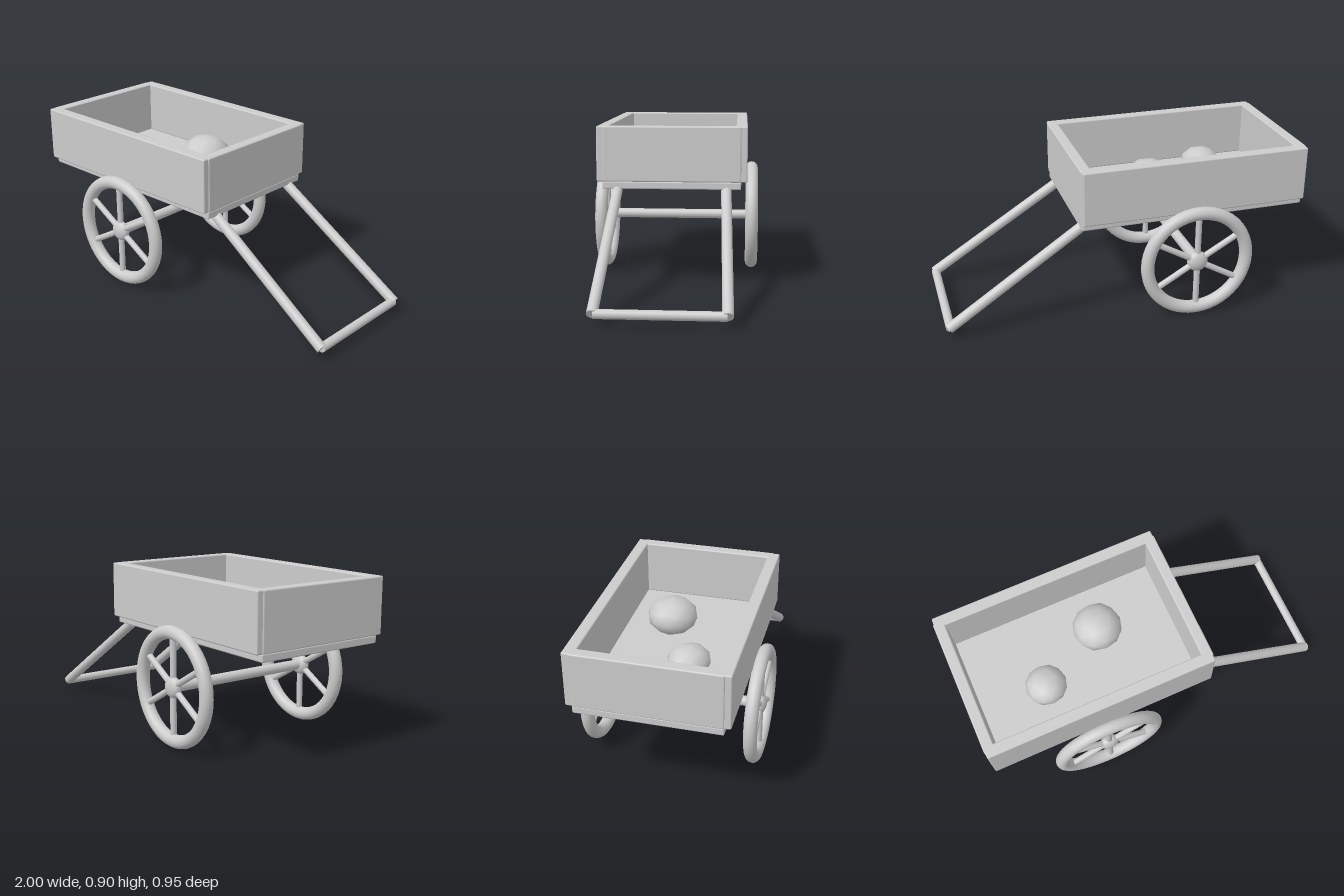
import * as THREE from 'three';
import { RoundedBoxGeometry } from 'three/addons/geometries/RoundedBoxGeometry.js';

export function createModel() {
  const cart = new THREE.Group();
  cart.name = 'handCart';
  const grey = new THREE.MeshStandardMaterial({ color: 0xcccccc });
  grey.name = 'light grey';

  const add = (parent, name, geometry, x = 0, y = 0, z = 0) => {
    const mesh = new THREE.Mesh(geometry, grey);
    mesh.name = name;
    mesh.position.set(x, y, z);
    parent.add(mesh);
    return mesh;
  };

  // Box given by its lower and upper corners, with softened edges
  const board = (name, a, b) => add(cart, name,
    new RoundedBoxGeometry(b[0] - a[0], b[1] - a[1], b[2] - a[2], 2, 0.008),
    (a[0] + b[0]) / 2, (a[1] + b[1]) / 2, (a[2] + b[2]) / 2);

  // Round bar between two points
  const bar = (parent, name, a, b, radius, sides = 20) => {
    const from = new THREE.Vector3(...a), to = new THREE.Vector3(...b);
    const dir = to.clone().sub(from);
    const mesh = add(parent, name, new THREE.CylinderGeometry(radius, radius, dir.length(), sides));
    mesh.position.copy(from).add(to).multiplyScalar(0.5);
    mesh.quaternion.setFromUnitVectors(new THREE.Vector3(0, 1, 0), dir.normalize());
    return mesh;
  };

  // Cargo box
  board('floor', [-0.995, 0.56, -0.375], [0.26, 0.602, 0.375]);
  board('rightSide', [-0.995, 0.6, 0.345], [0.26, 0.9, 0.408]);
  board('leftSide', [-0.995, 0.6, -0.408], [0.26, 0.9, -0.345]);
  board('rearEnd', [-1, 0.6, -0.375], [-0.94, 0.9, 0.375]);
  board('frontEnd', [0.205, 0.6, -0.375], [0.265, 0.9, 0.375]);

  // Flattened round stones lying on the floor
  const stone = (name, x, z, radius, height) => {
    const mesh = add(cart, name, new THREE.IcosahedronGeometry(radius, 1), x, 0.598 + height, z);
    mesh.scale.y = height / radius;
  };
  stone('largeStone', -0.2, -0.087, 0.135, 0.1);
  stone('smallStone', -0.577, 0.1, 0.112, 0.08);

  // Axle and spoked wheels
  const axleX = -0.368, axleY = 0.323;
  bar(cart, 'axle', [axleX, axleY, -0.44], [axleX, axleY, 0.44], 0.028);
  for (const side of [-1, 1]) {
    const wheel = new THREE.Group();
    wheel.name = side > 0 ? 'rightWheel' : 'leftWheel';
    wheel.position.set(axleX, axleY, side * 0.437);
    cart.add(wheel);
    add(wheel, 'rim', new THREE.TorusGeometry(0.285, 0.036, 16, 48));
    add(wheel, 'hub', new THREE.SphereGeometry(0.058, 24, 16)).scale.z = 0.6;
    for (let i = 0; i < 6; i++) {
      const angle = Math.PI / 2 + i * Math.PI / 3;
      bar(wheel, 'spoke', [0, 0, 0], [Math.cos(angle) * 0.275, Math.sin(angle) * 0.275, 0], 0.017, 12);
    }
  }

  // Pull handle: two sloping shafts and a cross bar
  for (const side of [-1, 1]) {
    bar(cart, side > 0 ? 'rightShaft' : 'leftShaft',
      [0.237, 0.555, side * 0.295], [0.98, 0.066, side * 0.322], 0.028);
  }
  bar(cart, 'crossBar', [0.974, 0.066, -0.318], [0.974, 0.066, 0.318], 0.024);

  return cart;
}
